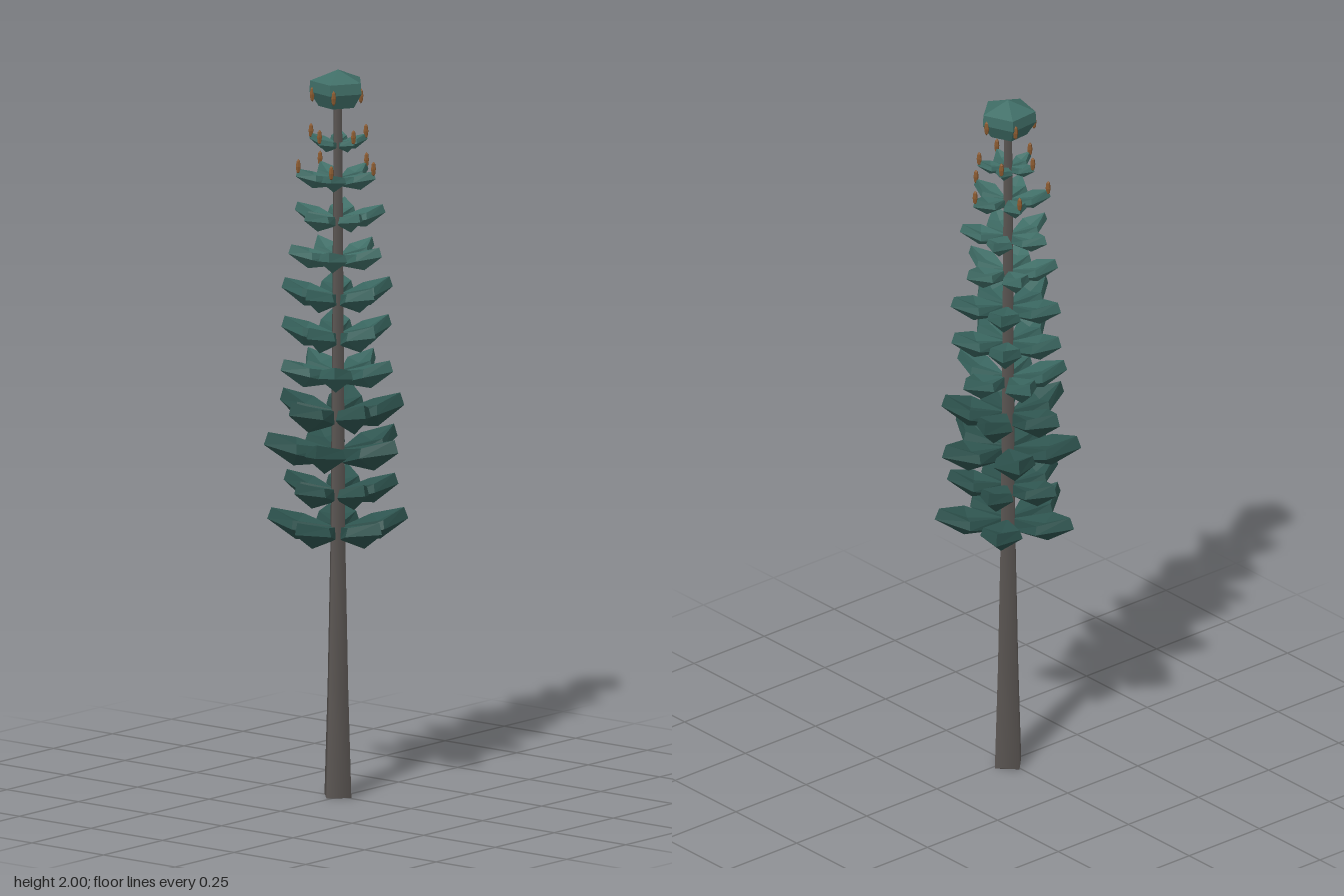
import * as THREE from 'three';

const CX = -0.01, CZ = -0.005; // trunk axis

// Thick kite-shaped frond along +x: keeled underside, bevelled rim, dished top
function frondGeometry() {
  const lower = [[0.04, 0.08, 0], [0.56, 0.45, 0.29], [1, 0.62, 0], [0.56, 0.45, -0.29]];
  const upper = [[0.06, 0.5, 0], [0.56, 0.74, 0.25], [0.94, 1, 0], [0.56, 0.74, -0.25]];
  const dish = [0.56, 0.6, 0], keel = [0.6, 0, 0], pos = [];
  for (let i = 0; i < 4; i++) {
    const j = (i + 1) % 4;
    pos.push(...upper[i], ...upper[j], ...dish);
    pos.push(...lower[j], ...lower[i], ...keel);
    pos.push(...lower[i], ...lower[j], ...upper[j]);
    pos.push(...lower[i], ...upper[j], ...upper[i]);
  }
  const g = new THREE.BufferGeometry();
  g.setAttribute('position', new THREE.Float32BufferAttribute(pos, 3));
  g.computeVertexNormals();
  return g;
}

const lathe = (points, sides) =>
  new THREE.LatheGeometry(points.map(([r, y]) => new THREE.Vector2(r, y)), sides);

export function createModel() {
  const group = new THREE.Group();
  const mat = (name, color, flatShading = true) => {
    const m = new THREE.MeshStandardMaterial({ color, flatShading });
    m.name = name;
    return m;
  };
  const bark = mat('bark', 0x5c5754, false);
  const lowGreen = mat('deepGreen', 0x2e544f);
  const midGreen = mat('midGreen', 0x38645e);
  const topGreen = mat('paleGreen', 0x406e67);
  const brown = mat('coneBrown', 0x8a5a30);

  const add = (name, geo, material, x, y, z) => {
    const m = new THREE.Mesh(geo, material);
    m.name = name;
    m.position.set(x, y, z);
    group.add(m);
    return m;
  };

  // Four-sided tapering trunk
  add('trunk', lathe([[0, 0], [0.047, 0], [0.047, 0.001], [0.036, 0.3], [0.026, 0.7], [0.02, 1.3], [0.014, 1.95]], 4),
    bark, CX, 0, CZ);

  // Whorls of five fronds: base height, reach, rise, turn in degrees
  const tiers = [
    [0.7, 0.2, 0.083, 14], [0.805, 0.165, 0.08, 24], [0.91, 0.2, 0.092, -4], [1.015, 0.18, 0.092, 26],
    [1.13, 0.16, 0.08, 54], [1.235, 0.157, 0.08, 10], [1.345, 0.158, 0.075, 12], [1.455, 0.135, 0.067, 61],
    [1.565, 0.13, 0.06, 23], [1.675, 0.115, 0.055, -12], [1.78, 0.083, 0.04, 18],
  ];
  const frond = frondGeometry();
  const coneGeo = new THREE.SphereGeometry(1, 6, 4).scale(0.007, 0.021, 0.007);
  tiers.forEach(([y, reach, rise, turn], i) => {
    const green = i < 4 ? lowGreen : i < 7 ? midGreen : topGreen;
    for (let k = 0; k < 5; k++) {
      const a = THREE.MathUtils.degToRad(turn + 72 * k);
      const f = add('frond', frond, green, CX, y, CZ);
      f.scale.set(reach, rise, reach);
      f.rotation.y = -a;
      // Upright seed cones near the tips of the two highest whorls
      if (i > 8) {
        const r = reach * 0.94;
        add('seedCone', coneGeo, brown, CX + r * Math.cos(a), y + rise + 0.006, CZ + r * Math.sin(a));
      }
    }
  });

  // Five-sided domed crown ringed with cones
  const crown = add('crown', lathe([[0, 1.925], [0.052, 1.9], [0.077, 1.94], [0.075, 1.97], [0, 2]], 5),
    topGreen, CX, 0, CZ);
  crown.rotation.y = THREE.MathUtils.degToRad(23);
  for (let k = 0; k < 5; k++) {
    const a = THREE.MathUtils.degToRad(60 + 72 * k);
    add('seedCone', coneGeo, brown, CX + 0.07 * Math.cos(a), 1.934, CZ + 0.07 * Math.sin(a));
  }
  return group;
}
